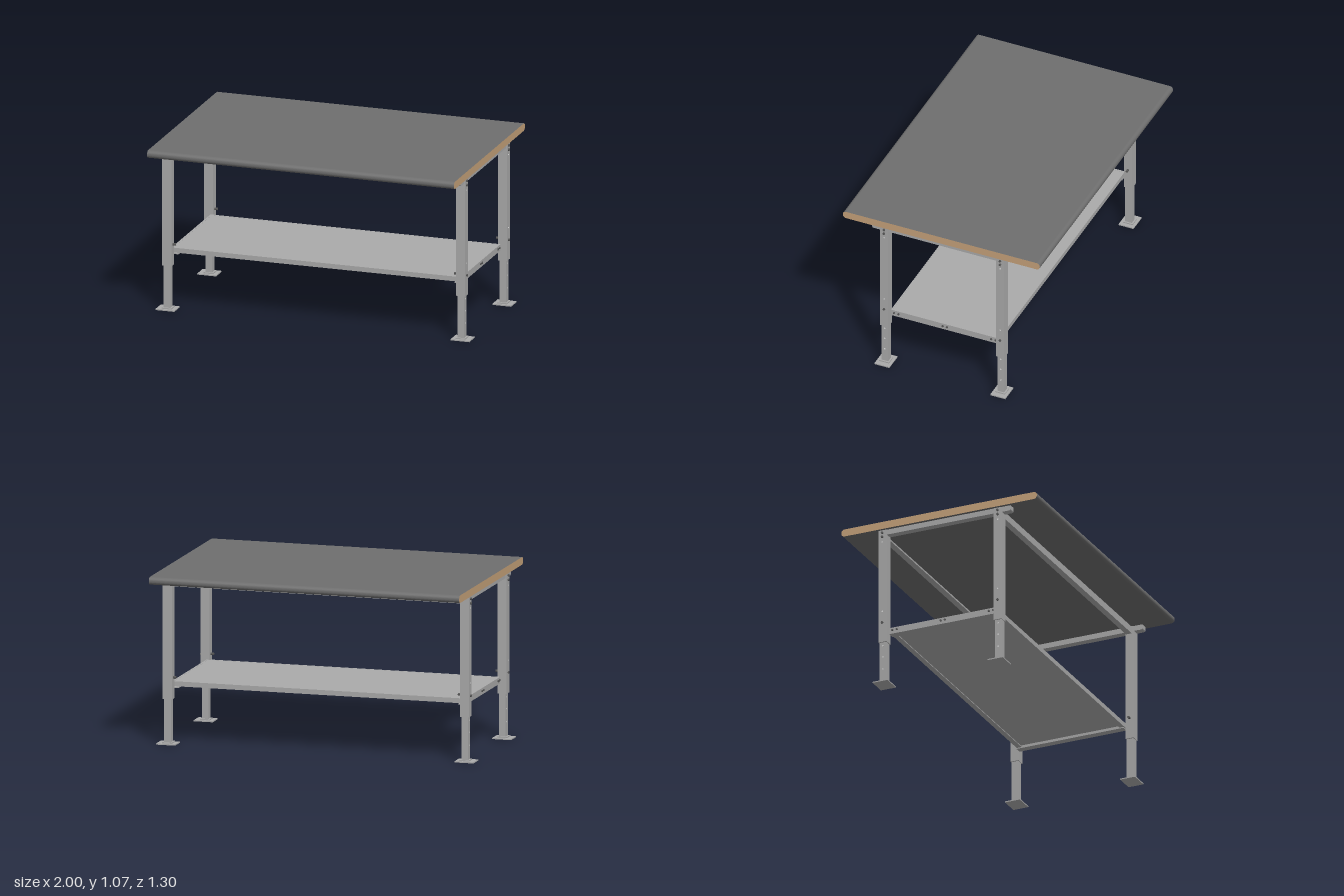
import * as THREE from 'three';

const mat = (name, color) => {
  const m = new THREE.MeshStandardMaterial({ color });
  m.name = name;
  return m;
};

export function createModel() {
  const root = new THREE.Group();
  root.name = 'workbench';
  const laminate = mat('darkGreyLaminate', 0x6e6e6e);
  const wood = mat('tanCore', 0xc6a27a);
  const steel = mat('greySteel', 0xaaaaaa);
  const boltSteel = mat('darkBolt', 0x5a5a5a);
  const holeMat = mat('paleHole', 0xdcdcdc);

  const add = (parent, name, geo, material) => {
    const m = new THREE.Mesh(geo, material);
    m.name = name;
    parent.add(m);
    return m;
  };
  // Box given by its minimum and maximum on each axis
  const box = (parent, name, [x0, x1], [y0, y1], [z0, z1], material = steel) =>
    add(parent, name, new THREE.BoxGeometry(x1 - x0, y1 - y0, z1 - z0), material)
      .position.set((x0 + x1) / 2, (y0 + y1) / 2, (z0 + z1) / 2);
  // Disc or bolt head with its axis along x
  const disc = (parent, name, x, y, z, r, len, material, sides = 12) => {
    const m = add(parent, name, new THREE.CylinderGeometry(r, r, len, sides), material);
    m.rotation.z = Math.PI / 2;
    m.position.set(x, y, z);
  };
  // Profile in z and y, extruded along x from x0 to x1
  const alongX = (shape, x0, x1, segments = 10) => {
    const g = new THREE.ExtrudeGeometry(shape, { depth: x1 - x0, bevelEnabled: false, curveSegments: segments });
    g.rotateY(-Math.PI / 2);
    g.translate(x1, 0, 0);
    return g;
  };

  // Tabletop: rounded front and back edges, bare core on the two ends
  const r = 0.0225, y0 = 1.02, y1 = 1.067, z = 0.65;
  const top = new THREE.Shape();
  top.moveTo(-z + r, y0);
  top.lineTo(z - r, y0);
  top.absarc(z - r, y0 + r, r, -Math.PI / 2, 0, false);
  top.lineTo(z, y1 - r);
  top.absarc(z - r, y1 - r, r, 0, Math.PI / 2, false);
  top.lineTo(-z + r, y1);
  top.absarc(-z + r, y1 - r, r, Math.PI / 2, Math.PI, false);
  top.lineTo(-z, y0 + r);
  top.absarc(-z + r, y0 + r, r, Math.PI, Math.PI * 1.5, false);
  add(root, 'tabletop', alongX(top, -0.978, 0.978), [wood, laminate]);

  // Legs: telescoping tubes with foot plates, bolts and adjustment holes
  for (const sx of [-1, 1]) {
    const span = (a, b) => (sx > 0 ? [a, b] : [-b, -a]);
    for (const sz of [-1, 1]) {
      const leg = new THREE.Group();
      leg.name = `${sz > 0 ? 'front' : 'back'}${sx > 0 ? 'Left' : 'Right'}Leg`;
      root.add(leg);
      const deep = (a, b) => (sz > 0 ? [a, b] : [-b, -a]);
      box(leg, 'outerTube', span(0.907, 0.965), [0.277, 1.018], deep(0.356, 0.409));
      box(leg, 'innerTube', span(0.915, 0.957), [0.008, 0.28], deep(0.36, 0.405));
      box(leg, 'footPlate', span(0.88, 1), [0, 0.007], deep(0.333, 0.432));
      box(leg, 'footCollar', span(0.905, 0.967), [0.007, 0.014], deep(0.35, 0.415));
      for (const y of [1.0, 0.973, 0.405])
        disc(leg, 'legBolt', sx * 0.967, y, sz * 0.383, 0.008, 0.012, boltSteel, 6);
      disc(leg, 'innerBolt', sx * 0.9, 0.41, sz * 0.383, 0.008, 0.024, boltSteel, 6);
      for (const y of [0.94, 0.48])
        disc(leg, 'legHole', sx * 0.965, y, sz * 0.383, 0.005, 0.002, holeMat);
      for (const y of [0.255, 0.18, 0.1])
        disc(leg, 'heightHole', sx * 0.957, y, sz * 0.383, 0.005, 0.002, holeMat);
    }

    // Bearer under each end of the top, projecting past the front leg
    const bearer = new THREE.Shape();
    bearer.moveTo(-0.36, 0.987);
    bearer.lineTo(0.455, 0.987);
    bearer.quadraticCurveTo(0.465, 0.987, 0.465, 0.997);
    bearer.lineTo(0.465, 1.02);
    bearer.lineTo(-0.36, 1.02);
    add(root, 'topBearer', alongX(bearer, ...span(0.914, 0.958), 4), steel);

    // Angle rail carrying each end of the shelf
    box(root, 'shelfEndRail', span(0.912, 0.924), [0.34, 0.38], [-0.356, 0.356]);
    box(root, 'shelfEndLedge', span(0.88, 0.912), [0.34, 0.346], [-0.356, 0.356]);
    for (const bz of [0.335, 0.306, 0.014, -0.014, -0.306, -0.335])
      disc(root, 'shelfBolt', sx * 0.926, 0.363, bz, 0.007, 0.008, boltSteel, 6);
  }

  // Long beams between the legs
  for (const sz of [-1, 1]) {
    const deep = (a, b) => (sz > 0 ? [a, b] : [-b, -a]);
    const side = sz > 0 ? 'front' : 'back';
    box(root, `${side}BeamWeb`, [-0.91, 0.91], [0.97, 1.014], deep(0.39, 0.398));
    box(root, `${side}BeamFlange`, [-0.91, 0.91], [0.97, 0.977], deep(0.36, 0.39));
    // Folded edge of the shelf
    box(root, `${side}ShelfEdge`, [-0.912, 0.912], [0.35, 0.38], deep(0.35, 0.357));
    box(root, `${side}ShelfLip`, [-0.912, 0.912], [0.35, 0.355], deep(0.325, 0.35));
  }
  box(root, 'shelf', [-0.912, 0.912], [0.373, 0.379], [-0.35, 0.35]);
  return root;
}
